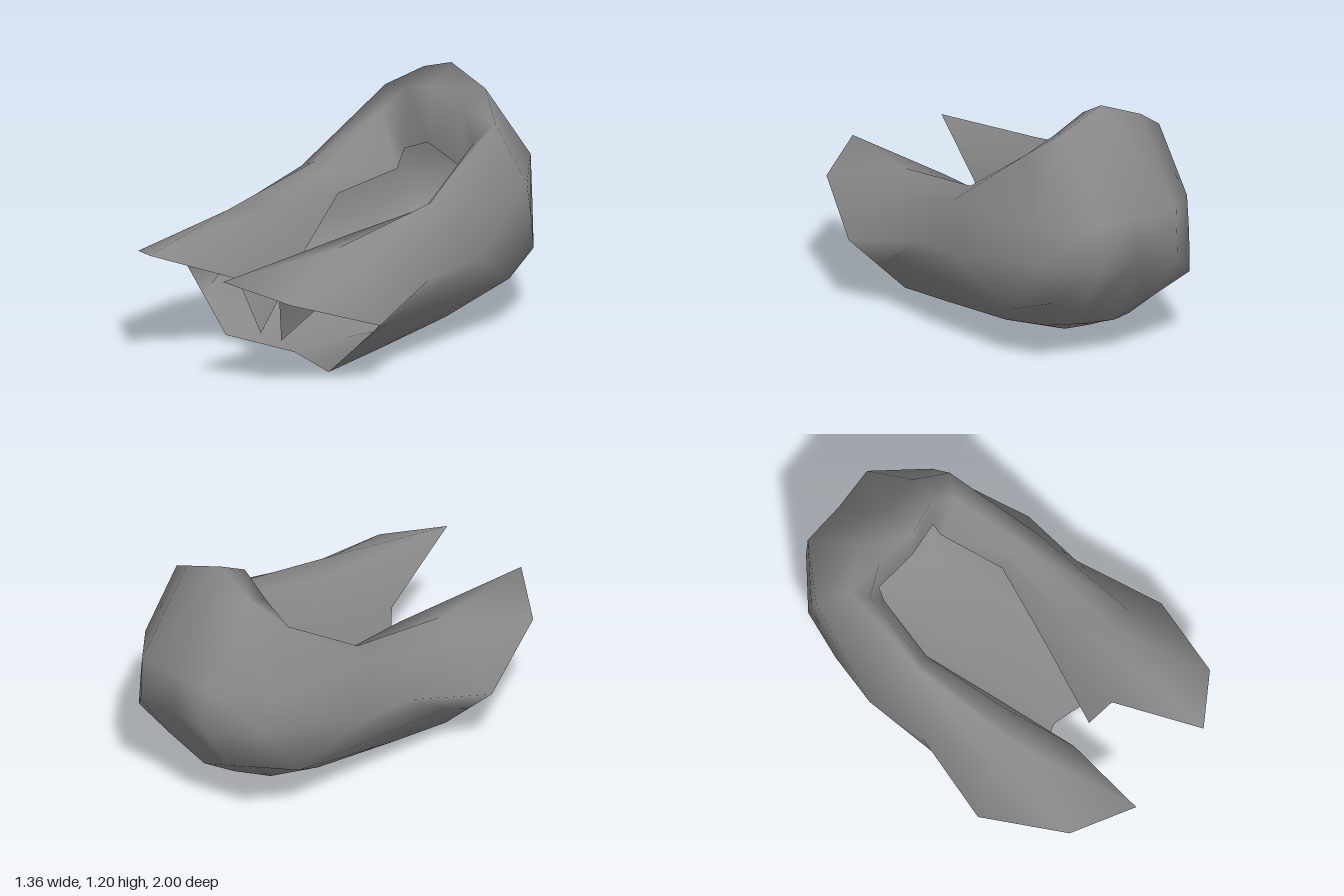
import * as THREE from 'three';
import { mergeVertices } from 'three/addons/utils/BufferGeometryUtils.js';

// U-shaped loops, each running from the front of the left side to the middle of the back
const LOOPS = [
  // floor centreline
  [[0, 0.01, 0.31], [0, 0.005, 0], [0, 0, -0.39], [0, 0.085, -0.6], [0, 0.13, -0.7], [0, 0.17, -0.8]],
  // floor corner
  [[0.35, 0.03, 0.42], [0.34, 0.06, 0.1], [0.31, 0.1, -0.36], [0.26, 0.14, -0.62], [0.13, 0.155, -0.73], [0, 0.17, -0.8]],
  // lower side
  [[0.515, 0.185, 0.41], [0.55, 0.28, 0.23], [0.46, 0.265, -0.63], [0.39, 0.345, -0.85], [0.195, 0.257, -0.83], [0, 0.17, -0.8]],
  // widest line
  [[0.68, 0.34, 0.4], [0.568, 0.44, -0.02], [0.59, 0.47, -0.32], [0.415, 0.52, -0.81], [0.22, 0.51, -1], [0, 0.51, -0.99]],
  // upper side
  [[0.52, 0.5, 0.82], [0.5, 0.545, 0.35], [0.49, 0.68, -0.19], [0.43, 0.69, -0.77], [0.22, 0.73, -0.99], [0, 0.73, -0.98]],
  // crest
  [[0.25, 0.59, 1], [0.37, 0.636, 0.39], [0.395, 0.73, -0.19], [0.375, 1.01, -0.62], [0.21, 1.12, -0.71], [0, 1.2, -0.69]],
  // turned-in lip
  [[0.14, 0.39, 0.54], [0.27, 0.64, 0.2], [0.34, 0.69, -0.21], [0.315, 0.92, -0.54], [0.19, 1.06, -0.585], [0, 1.12, -0.54]],
  // edge of the opening
  [[0.07, 0.12, 0.46], [0.175, 0.37, 0.12], [0.28, 0.59, -0.23], [0.21, 0.655, -0.54], [0.2, 0.75, -0.58], [0, 0.84, -0.54]],
];

// Mirror every loop to the right side and join neighbouring loops with quads
function shellGeometry() {
  const positions = [], index = [];
  const rows = LOOPS.map((half) => [
    ...half,
    ...half.slice(0, -1).reverse().map(([x, y, z]) => [-x, y, z]),
  ]);
  const n = rows[0].length;
  rows.forEach((row) => row.forEach((p) => positions.push(...p)));
  for (let r = 0; r < rows.length - 1; r++) {
    for (let c = 0; c < n - 1; c++) {
      const a = r * n + c, b = a + 1, d = a + n, e = d + 1;
      // Quads on the right side are split along the mirrored diagonal
      if (c < (n - 1) / 2) index.push(a, b, e, a, e, d);
      else index.push(a, b, d, b, e, d);
    }
  }
  const geometry = new THREE.BufferGeometry();
  geometry.setAttribute('position', new THREE.Float32BufferAttribute(positions, 3));
  geometry.setIndex(index);
  // Share the floor centreline between both halves, then smooth
  const merged = mergeVertices(geometry, 1e-4);
  merged.computeVertexNormals();
  return merged;
}

export function createModel() {
  const group = new THREE.Group();
  const grey = new THREE.MeshStandardMaterial({ color: 0x888888, side: THREE.DoubleSide });
  grey.name = 'grey';
  const shell = new THREE.Mesh(shellGeometry(), grey);
  shell.name = 'hoodedShell';
  group.add(shell);
  return group;
}
